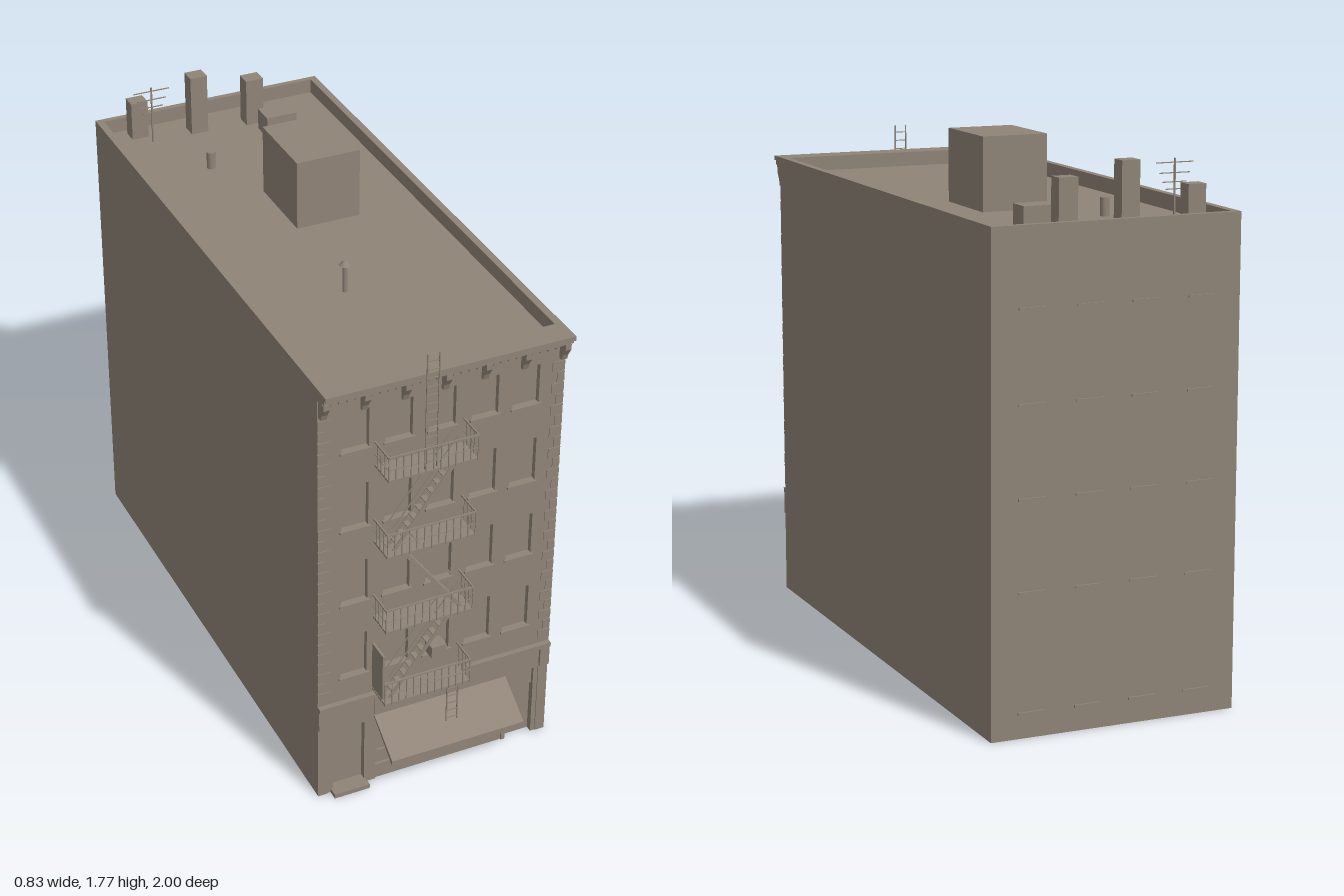
import * as THREE from 'three';

const stone = new THREE.MeshStandardMaterial({ color: 0x8f8477, side: THREE.DoubleSide });
stone.name = 'warm grey stone';

export function createModel() {
  const model = new THREE.Group();
  model.name = 'tenementBuilding';

  const group = (name) => {
    const g = new THREE.Group();
    g.name = name;
    model.add(g);
    return g;
  };
  const add = (parent, name, geo) => {
    const m = new THREE.Mesh(geo, stone);
    m.name = name;
    parent.add(m);
    return m;
  };
  // Box given by its limits on each axis
  const box = (p, name, x0, x1, y0, y1, z0, z1) => {
    const m = add(p, name, new THREE.BoxGeometry(x1 - x0, y1 - y0, z1 - z0));
    m.position.set((x0 + x1) / 2, (y0 + y1) / 2, (z0 + z1) / 2);
    return m;
  };
  // Square bar between two points
  const bar = (p, name, a, b, w = 0.004, d = w) => {
    const from = new THREE.Vector3(...a), to = new THREE.Vector3(...b);
    const m = add(p, name, new THREE.BoxGeometry(w, d, from.distanceTo(to)));
    m.position.copy(from).lerp(to, 0.5);
    m.lookAt(to);
    return m;
  };
  const cyl = (p, name, r0, r1, x, y0, y1, z) => {
    const m = add(p, name, new THREE.CylinderGeometry(r0, r1, y1 - y0, 12));
    m.position.set(x, (y0 + y1) / 2, z);
    return m;
  };

  const W = 0.415, TOP = 1.58, ROOF = 1.53, FACE = 0.86, BACK = -0.995;
  const columns = [-0.29, -0.145, 0, 0.145, 0.285];
  const rows = [[0.465, 0.625], [0.755, 0.91], [1.04, 1.2], [1.33, 1.475]];

  // Shell, open underneath, whose walls rise above the roof as a parapet
  const shell = group('shell');
  for (const s of [-1, 1]) {
    const a = s * W, b = s * (W - 0.025);
    box(shell, 'sideWall', Math.min(a, b), Math.max(a, b), 0, TOP, BACK, FACE - 0.03);
  }
  box(shell, 'backWall', -W + 0.025, W - 0.025, 0, TOP, BACK, BACK + 0.02);
  box(shell, 'roofDeck', -W + 0.025, W - 0.025, ROOF - 0.01, ROOF, BACK + 0.02, FACE - 0.03);

  // Front wall with door and shop notches and window holes
  const notches = [[-0.36, -0.25, 0.255], [-0.21, 0.255, 0.27], [0.268, 0.365, 0.27]];
  const outline = new THREE.Shape().moveTo(-W, 0);
  for (const [x0, x1, h] of notches) outline.lineTo(x0, 0).lineTo(x0, h).lineTo(x1, h).lineTo(x1, 0);
  outline.lineTo(W, 0).lineTo(W, TOP).lineTo(-W, TOP).closePath();
  for (const [y0, y1] of rows) for (const x of columns) {
    outline.holes.push(new THREE.Path().moveTo(x - 0.045, y0).lineTo(x - 0.045, y1)
      .lineTo(x + 0.045, y1).lineTo(x + 0.045, y0).closePath());
  }
  const front = add(shell, 'frontWall', new THREE.ExtrudeGeometry(outline, { depth: 0.03, bevelEnabled: false }));
  front.position.z = FACE - 0.03;

  // Front windows and sills
  const windows = group('windows');
  for (const [y0, y1] of rows) for (const x of columns) {
    box(windows, 'pane', x - 0.045, x + 0.045, y0, y1, 0.836, 0.842);
    box(windows, 'sill', x - 0.052, x + 0.052, y0 - 0.008, y0, FACE, 0.868);
  }
  // Rear sills
  for (const y of [0.08, 0.46, 0.75, 1.04, 1.33]) for (const x of [-0.285, -0.095, 0.09, 0.28])
    box(windows, 'rearSill', x - 0.046, x + 0.046, y - 0.004, y + 0.004, -1, BACK);

  // Corner quoins, alternately long and short
  const quoins = group('quoins');
  for (let i = 0; i < 27; i++) {
    const y = 0.39 + i * 0.04, w = i % 2 ? 0.025 : 0.042;
    box(quoins, 'quoin', -W, -W + w, y, y + 0.034, FACE, 0.863);
    box(quoins, 'quoin', W - w, W, y, y + 0.034, FACE, 0.863);
  }

  // Cornice with brackets and dentils
  const cornice = group('cornice');
  box(cornice, 'crown', -W, W, 1.565, TOP, FACE, 0.92);
  box(cornice, 'crownMoulding', -W, W, 1.55, 1.565, FACE, 0.908);
  box(cornice, 'bedMoulding', -W, W, 1.538, 1.55, FACE, 0.893);
  box(cornice, 'frieze', -0.39, 0.39, 1.475, 1.538, FACE, 0.868);
  const profile = new THREE.Shape().moveTo(0, 0).lineTo(0.018, 0).lineTo(0.024, 0.02)
    .lineTo(0.04, 0.045).lineTo(0.04, 0.065).lineTo(0, 0.065).closePath();
  const bracketGeo = new THREE.ExtrudeGeometry(profile, { depth: 0.02, bevelEnabled: false });
  bracketGeo.rotateY(-Math.PI / 2).translate(0.01, 0, 0);
  for (let i = -3; i <= 3; i++) {
    add(cornice, 'bracket', bracketGeo).position.set(i * 0.134, 1.478, FACE);
    if (i < 3) for (let k = 1; k < 5; k++) {
      const x = (i + k / 5) * 0.134;
      box(cornice, 'dentil', x - 0.006, x + 0.006, 1.522, 1.538, FACE, 0.882);
    }
  }

  // Ground floor: doors, shop window, pilasters and string course
  const shop = group('groundFloor');
  box(shop, 'leftDoor', -0.36, -0.25, 0, 0.255, 0.832, 0.838);
  box(shop, 'rightDoor', 0.268, 0.365, 0, 0.2, 0.832, 0.838);
  box(shop, 'transom', 0.268, 0.365, 0.2, 0.27, 0.832, 0.848);
  box(shop, 'shopWindow', -0.21, 0.255, 0.105, 0.27, 0.832, 0.838);
  box(shop, 'shopPanel', -0.21, 0.255, 0.055, 0.105, 0.832, 0.846);
  box(shop, 'shopBase', -0.21, 0.255, 0, 0.055, 0.832, 0.855);
  for (const x of [-0.205, 0.022, 0.25]) box(shop, 'mullion', x - 0.005, x + 0.005, 0.105, 0.27, 0.838, 0.85);
  box(shop, 'doorStep', -0.37, -0.245, 0, 0.016, 0.832, 0.895);
  box(shop, 'stringCourse', -W, W, 0.357, 0.373, FACE, 0.878);
  box(shop, 'fascia', -0.215, 0.38, 0.275, 0.357, FACE, 0.865);
  for (const s of [-1, 1]) {
    box(shop, 'pilaster', s * 0.398 - 0.017, s * 0.398 + 0.017, 0, 0.28, FACE, 0.863);
    box(shop, 'corbel', s * 0.398 - 0.017, s * 0.398 + 0.017, 0.28, 0.357, FACE, 0.872);
  }

  // Sloping awning
  const slope = new THREE.Shape().moveTo(0.86, 0.278).lineTo(1, 0.186).lineTo(1, 0.168)
    .lineTo(0.996, 0.168).lineTo(0.86, 0.27).closePath();
  const awning = add(shop, 'awning', new THREE.ExtrudeGeometry(slope, { depth: 0.475, bevelEnabled: false })
    .rotateY(-Math.PI / 2));
  awning.position.x = 0.258;

  // Fire escape landings with railings
  const escape = group('fireEscape');
  const L = -0.225, R = 0.075, Z = 0.957;
  const levels = [0.385, 0.675, 0.965, 1.25];
  for (const y of levels) {
    box(escape, 'landing', L, R, y, y + 0.007, FACE, Z);
    for (const h of [0.045, 0.09]) {
      const w = h > 0.05 ? 0.005 : 0.002;
      bar(escape, 'frontRail', [L, y + h, Z], [R, y + h, Z], w);
      for (const x of [L, R]) bar(escape, 'sideRail', [x, y + h, FACE], [x, y + h, Z], w);
    }
    for (let i = 0; i <= 12; i++) {
      const x = L + (R - L) * i / 12;
      bar(escape, 'baluster', [x, y, Z], [x, y + 0.09, Z], 0.003);
    }
    for (const x of [L, R]) for (const z of [0.88, 0.905, 0.93])
      bar(escape, 'sideBaluster', [x, y, z], [x, y + 0.09, z], 0.003);
  }

  // Stair flights zigzagging between landings
  const flights = [[-0.2, 0.02], [0.05, -0.165], [-0.195, 0.02]];
  flights.forEach(([x0, x1], i) => {
    const y0 = levels[i], y1 = levels[i + 1];
    for (const z of [0.895, 0.93]) {
      bar(escape, 'stringer', [x0, y0, z], [x1, y1, z], 0.004, 0.012);
      bar(escape, 'handrail', [x0, y0 + 0.09, z], [x1, y1 + 0.09, z], 0.003);
    }
    for (let k = 1; k < 11; k++) {
      const x = x0 + (x1 - x0) * k / 11, y = y0 + (y1 - y0) * k / 11;
      box(escape, 'tread', x - 0.009, x + 0.009, y, y + 0.003, 0.895, 0.93);
    }
  });

  // Roof ladder and drop ladder
  const ladder = (name, x0, x1, y0, y1, z, step) => {
    for (const x of [x0, x1]) bar(escape, name + 'Rail', [x, y0, z], [x, y1, z]);
    for (let y = y0 + step; y < y1 - step / 2; y += step) bar(escape, name + 'Rung', [x0, y, z], [x1, y, z], 0.003);
  };
  ladder('roofLadder', -0.098, -0.058, 1.25, 1.665, 0.945, 0.03);
  ladder('dropLadder', 0.007, 0.045, 0.18, 0.385, 0.935, 0.03);

  // Projecting sign panel and window cooling unit
  box(escape, 'signPanel', -0.235, -0.227, 0.415, 0.588, 0.88, 0.957);
  box(windows, 'coolingUnit', -0.03, 0.022, 0.465, 0.508, 0.84, 0.892);

  // Roof house, chimneys and vents
  const roof = group('roofTop');
  box(roof, 'stairHouse', -0.05, 0.173, ROOF, 1.77, -0.38, -0.103);
  box(roof, 'chimney', -0.316, -0.256, ROOF, 1.665, -0.952, -0.9);
  box(roof, 'chimney', -0.115, -0.054, ROOF, 1.742, -0.906, -0.852);
  box(roof, 'chimney', 0.084, 0.148, ROOF, 1.698, -0.89, -0.836);
  box(roof, 'ventBox', 0.112, 0.222, ROOF, 1.605, -0.8, -0.72);
  cyl(roof, 'shortVent', 0.015, 0.015, -0.145, ROOF, 1.59, -0.605);
  cyl(roof, 'ventPipe', 0.008, 0.008, -0.074, ROOF, 1.63, 0.317);
  cyl(roof, 'ventCap', 0.006, 0.019, -0.074, 1.625, 1.64, 0.317);

  // Aerial
  bar(roof, 'aerialMast', [-0.256, ROOF, -0.86], [-0.256, 1.735, -0.86], 0.005);
  [[1.722, 0.064], [1.69, 0.052], [1.662, 0.04], [1.64, 0.03]].forEach(([y, r]) =>
    bar(roof, 'aerialArm', [-0.256 - r, y, -0.86], [-0.256 + r, y, -0.86], 0.003));

  return model;
}
